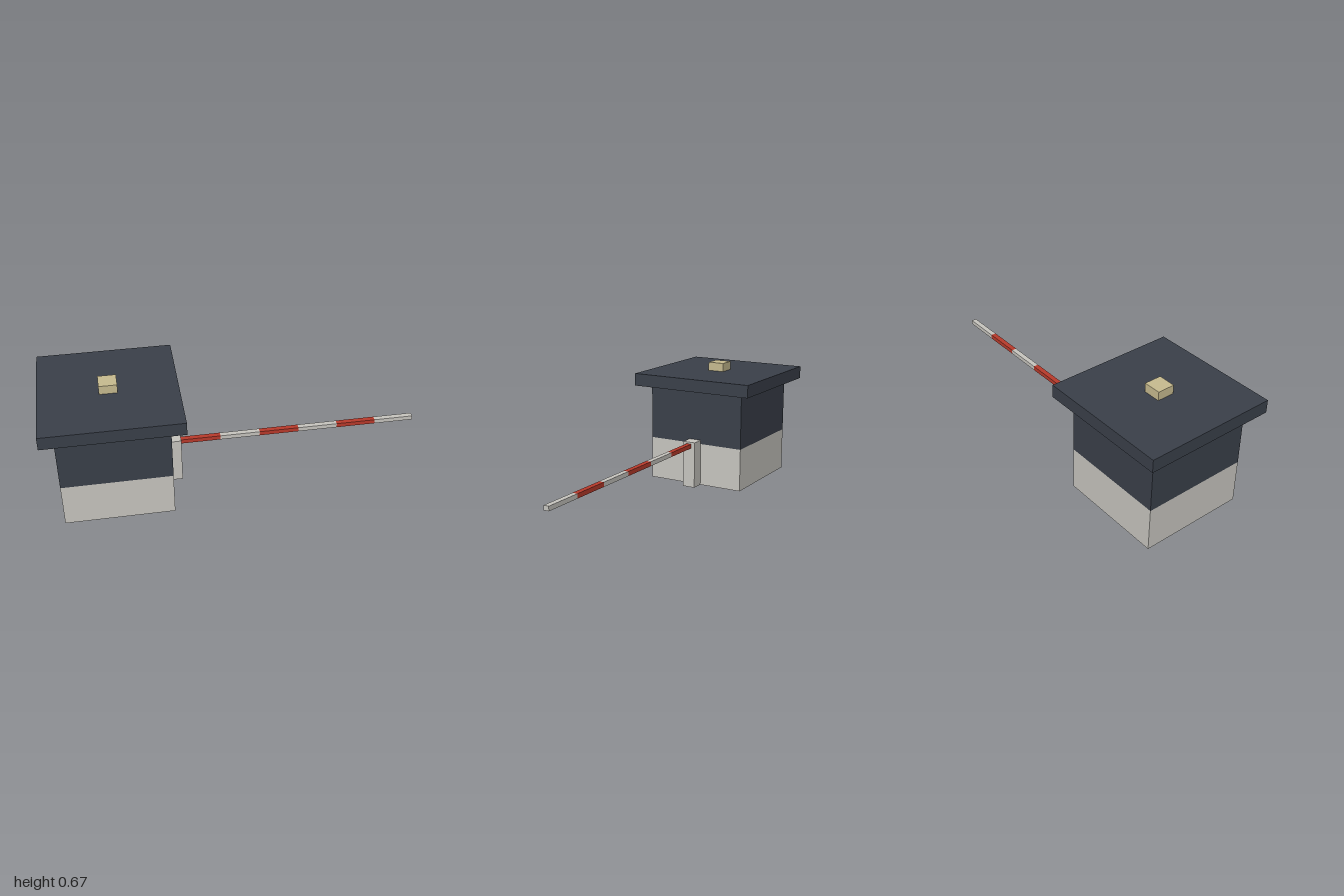
import * as THREE from 'three';

const flat = (name, color, side = THREE.FrontSide) => {
  const m = new THREE.MeshStandardMaterial({ color, side });
  m.name = name;
  return m;
};

// Box given by its minimum and maximum corners; an open box has no underside
function box(name, material, [x0, y0, z0], [x1, y1, z1], open = false) {
  const geometry = new THREE.BoxGeometry(x1 - x0, y1 - y0, z1 - z0);
  if (open) {
    const index = Array.from(geometry.index.array);
    index.splice(18, 6);
    geometry.setIndex(index);
    geometry.clearGroups();
  }
  const mesh = new THREE.Mesh(geometry, material);
  mesh.name = name;
  mesh.position.set((x0 + x1) / 2, (y0 + y1) / 2, (z0 + z1) / 2);
  return mesh;
}

export function createModel() {
  const model = new THREE.Group();
  model.name = 'barrierBooth';

  const grey = flat('paleGrey', 0xc8c6c0, THREE.DoubleSide);
  const slate = flat('slate', 0x3a404a);
  const red = flat('signalRed', 0xb93a2b);
  const tan = flat('tan', 0xc8bc90);

  // Booth: hollow plinth, dark walls, overhanging roof slab and roof lamp
  const booth = new THREE.Group();
  booth.name = 'booth';
  booth.add(
    box('plinth', grey, [-0.929, 0, -0.286], [-0.357, 0.24, 0.286], true),
    box('walls', slate, [-0.929, 0.24, -0.286], [-0.357, 0.55, 0.286], true),
    box('roof', slate, [-1, 0.55, -0.357], [-0.286, 0.62, 0.357]),
    box('roofLamp', tan, [-0.69, 0.62, -0.047], [-0.596, 0.668, 0.047]),
  );

  // Barrier: hollow post against the wall and a striped arm
  const barrier = new THREE.Group();
  barrier.name = 'barrier';
  barrier.add(box('post', grey, [-0.357, 0, -0.036], [-0.286, 0.262, 0.036], true));
  const start = -0.286, count = 6, step = (1 - start) / count;
  for (let i = 0; i < count; i++) {
    const x = start + i * step;
    barrier.add(box(`armStripe${i + 1}`, i % 2 ? grey : red,
      [x, 0.228, -0.0143], [x + step, 0.252, 0.0143]));
  }

  model.add(booth, barrier);
  return model;
}
